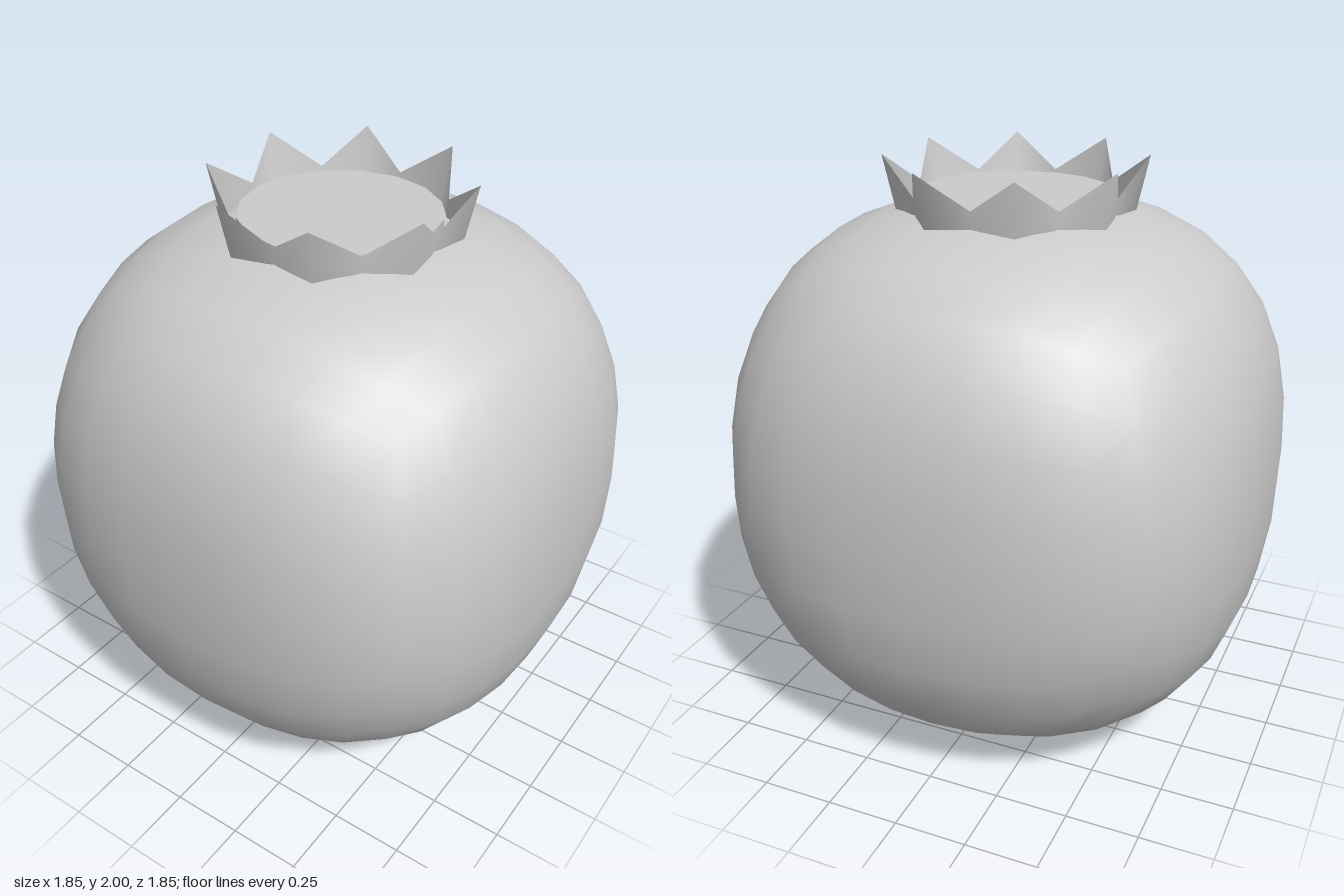
import * as THREE from 'three';
import { mergeVertices } from 'three/addons/utils/BufferGeometryUtils.js';

const grey = () => new THREE.MeshStandardMaterial({ color: 0xcccccc });

// Rounded cube: box grid pushed out onto a superellipsoid with softened corners
function bodyGeometry(radius, power) {
  let geo = new THREE.BoxGeometry(2, 2, 2, 8, 8, 8);
  geo.deleteAttribute('uv');
  geo.deleteAttribute('normal');
  geo = mergeVertices(geo);
  const pos = geo.attributes.position;
  const v = new THREE.Vector3();
  const spread = (u) => (u + Math.tan(u * Math.PI / 4)) / 2;
  for (let i = 0; i < pos.count; i++) {
    v.fromBufferAttribute(pos, i);
    v.set(spread(v.x), spread(v.y), spread(v.z)).normalize();
    const sum = [v.x, v.y, v.z].reduce((s, c) => s + Math.abs(c) ** power, 0);
    const corner = 27 * (v.x * v.y * v.z) ** 2;
    v.multiplyScalar(radius * sum ** (-1 / power) * (1 - 0.035 * corner));
    pos.setXYZ(i, v.x, v.y, v.z);
  }
  geo.computeVertexNormals();
  return geo;
}

// Open ring of points: base and rim alternate between valley and tip
function crownGeometry(points) {
  const n = points * 2;
  const verts = [];
  const index = [];
  for (let i = 0; i < n; i++) {
    const a = (i / n) * Math.PI * 2;
    const tip = i % 2 === 1;
    const base = tip ? 0.4 : 0.35;
    const rim = tip ? 0.446 : 0.36;
    verts.push(Math.sin(a) * base, 1.79, Math.cos(a) * base);
    verts.push(Math.sin(a) * rim, tip ? 2 : 1.885, Math.cos(a) * rim);
    const b = i * 2;
    const c = ((i + 1) % n) * 2;
    // Split each quad the same way on both sides of a tip
    if (tip) index.push(b, c, b + 1, c, c + 1, b + 1);
    else index.push(b, c, c + 1, b, c + 1, b + 1);
  }
  const geo = new THREE.BufferGeometry();
  geo.setAttribute('position', new THREE.Float32BufferAttribute(verts, 3));
  geo.setIndex(index);
  geo.computeVertexNormals();
  return geo;
}

export function createModel() {
  const group = new THREE.Group();
  group.name = 'crownedFruit';

  const body = new THREE.Mesh(bodyGeometry(0.925, 2.8), grey());
  body.name = 'body';
  body.position.y = 0.928;
  group.add(body);

  const crownMaterial = grey();
  crownMaterial.side = THREE.DoubleSide;
  const crown = new THREE.Mesh(crownGeometry(8), crownMaterial);
  crown.name = 'crown';
  group.add(crown);

  // Flat disc filling the inside of the crown
  const disc = new THREE.Mesh(new THREE.CylinderGeometry(0.338, 0.338, 0.1, 16), grey());
  disc.name = 'crownDisc';
  disc.position.y = 1.828;
  group.add(disc);

  return group;
}
